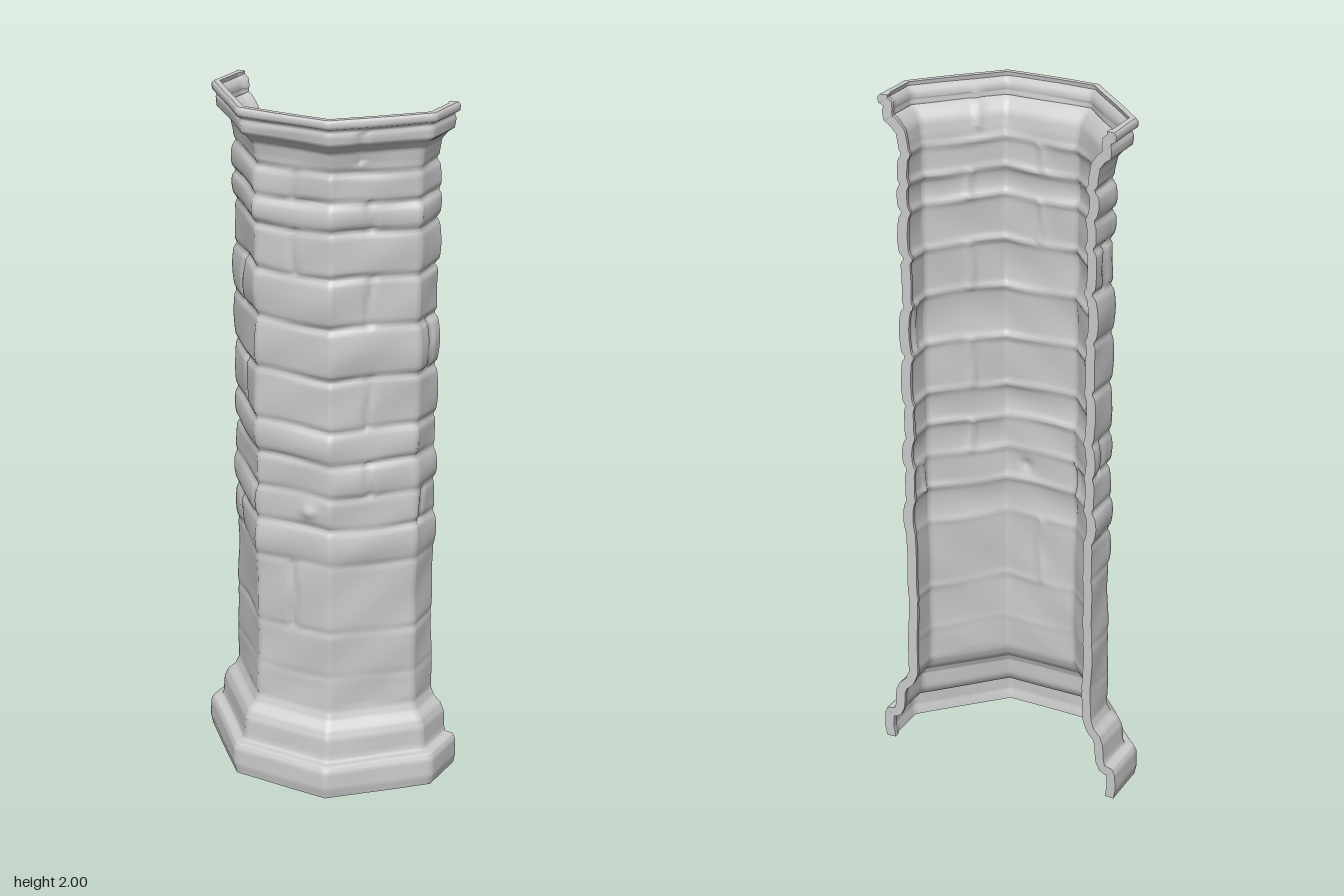
import * as THREE from 'three';

const mat = new THREE.MeshStandardMaterial({ color: 0xcccccc, side: THREE.DoubleSide });
const THICK = 0.02;

// Half-octagon plan of the shaft: [x, z, mitre x, mitre z]
const half = [[0.295, -0.18, 1, -0.1], [0.295, -0.072, 1, 0.414], [0.118, 0.108, 0.414, 1]];
const plan = [...half, ...half.slice().reverse().map(([x, z, mx, mz]) => [-x, z, -mx, mz])];

// Moulding profile: [projection from shaft, height]
const profile = [
  [0.078, 0], [0.084, 0.03], [0.082, 0.08], [0.074, 0.097], [0.05, 0.1], [0.046, 0.115], [0.043, 0.165],
  [0.033, 0.19], [0.012, 0.21], [0.002, 0.235], [0, 0.3], [0, 1.86], [0.006, 1.895], [0.022, 1.915],
  [0.04, 1.928], [0.044, 1.955], [0.042, 1.968], [0.055, 1.976], [0.056, 1.992], [0.05, 2],
];

// Bed joints: [height, depth]; head joints: [distance along wall, from, to]
const beds = [[0.34, 0.002], [0.48, 0.004], [0.69, 0.003], [0.8, 0.007], [0.9, 0.006], [1.0, 0.008], [1.1, 0.008],
  [1.25, 0.01], [1.4, 0.009], [1.54, 0.011], [1.67, 0.009], [1.75, 0.01], [1.835, 0.01], [1.965, 0.004]];
const heads = [[0, 1.75, 1.83], [0, 1.54, 1.67], [0.23, 1.4, 1.54], [0.23, 1.1, 1.25], [0.23, 0.9, 1],
  [-0.23, 1.1, 1.25], [0.2, 1.86, 1.96], [0.23, 1.67, 1.75], [-0.26, 1.4, 1.54], [0, 0.48, 0.69], [-0.14, 0.8, 0.9],
  [0.43, 1.25, 1.4], [-0.43, 1.0, 1.1], [-0.42, 1.54, 1.67], [0.4, 0.8, 0.9], [-0.3, 0.69, 0.8]];

const bell = (d, w) => Math.exp(-(d * d) / (w * w));

// Worn masonry relief: joints, uneven courses and gentle waviness
function relief(s, y) {
  let d = 0.002 * Math.sin(9 * s + 13 * y) + 0.0015 * Math.sin(23 * s - 31 * y + 1);
  const yy = y + 0.004 * Math.sin(17 * s + 5 * y);
  for (const [h, depth] of beds) {
    d -= depth * (0.75 + 0.25 * Math.sin(19 * s + 40 * h)) * bell(yy - h, 0.009);
  }
  for (const [p, a, b] of heads) {
    if (y > a && y < b) d -= 0.009 * bell(s - p + 0.004 * Math.sin(40 * y), 0.008);
  }
  const course = beds.filter(b => b[0] < yy).length;
  if (course > 2 && course < 13) {
    const [a, b] = [beds[course - 1][0], beds[course][0]];
    const pillow = Math.sin(Math.PI * (yy - a) / (b - a));
    d += 0.004 * pillow * (1 + Math.sin(course * 2.4 + Math.round(s * 4)));
  }
  // Small knob on the front face
  return d + 0.012 * bell(Math.hypot(s - 0.05, y - 0.85), 0.018);
}

// Subdivide a polyline of any dimension to even small steps
function subdivide(points, step) {
  const out = [points[0]];
  for (let i = 1; i < points.length; i++) {
    const a = points[i - 1], b = points[i];
    const n = Math.max(2, Math.ceil(Math.hypot(b[0] - a[0], b[1] - a[1]) / step));
    for (let k = 1; k <= n; k++) out.push(a.map((v, c) => v + (b[c] - v) * k / n));
  }
  return out;
}

// Surface over an nu x nv lattice
function lattice(name, nu, nv, at, flip = false) {
  const pos = [], index = [];
  for (let i = 0; i < nu; i++) for (let j = 0; j < nv; j++) pos.push(...at(i, j));
  for (let i = 0; i < nu - 1; i++) {
    for (let j = 0; j < nv - 1; j++) {
      const a = i * nv + j, b = a + 1, c = a + nv, d = c + 1;
      if (flip) index.push(a, c, b, b, c, d);
      else index.push(a, b, c, b, d, c);
    }
  }
  const g = new THREE.BufferGeometry();
  g.setAttribute('position', new THREE.Float32BufferAttribute(pos, 3));
  g.setIndex(index);
  g.computeVertexNormals();
  const mesh = new THREE.Mesh(g, mat);
  mesh.name = name;
  return mesh;
}

export function createModel() {
  const path = subdivide(plan, 0.0125), prof = subdivide(profile, 0.0085);
  const nu = path.length, nv = prof.length;

  // Distance along the wall, zero at the middle of the front
  const dist = [0];
  for (let i = 1; i < nu; i++) {
    dist.push(dist[i - 1] + Math.hypot(path[i][0] - path[i - 1][0], path[i][1] - path[i - 1][1]));
  }
  const mid = dist[nu - 1] / 2;

  const place = (i, r, y) => {
    const [x, z, mx, mz] = path[i];
    return [x + mx * r, Math.min(2, Math.max(0, y)), z + mz * r];
  };
  const bump = (i, y) => relief(mid - dist[i], y) * (y < 0.25 ? 0.5 : 1);
  const outer = (i, j) => {
    const [r, y] = prof[j];
    return place(i, r + bump(i, y), y);
  };
  // Inner skin follows the profile at wall thickness, thicker at the open edges
  const inner = (i, j) => {
    const [r, y] = prof[j], a = prof[Math.max(0, j - 1)], b = prof[Math.min(nv - 1, j + 1)];
    const dr = b[0] - a[0], dy = b[1] - a[1], len = Math.hypot(dr, dy);
    const t = THICK + (i < 2 || i > nu - 3 ? 0.008 : 0);
    const ny = j === 0 || j === nv - 1 ? 0 : -dr / len;
    return place(i, r + bump(i, y) * 0.8 - t * Math.max(0.3, dy / len), y - t * ny);
  };

  const model = new THREE.Group();
  model.name = 'halfOctagonalColumn';
  model.add(
    lattice('outerWall', nu, nv, outer),
    lattice('innerWall', nu, nv, inner, true),
    lattice('topRim', nu, 2, (i, k) => (k ? inner : outer)(i, nv - 1)),
    lattice('bottomRim', nu, 2, (i, k) => (k ? inner : outer)(i, 0), true),
    lattice('leftBackEdge', 2, nv, (k, j) => (k ? outer : inner)(0, j)),
    lattice('rightBackEdge', 2, nv, (k, j) => (k ? inner : outer)(nu - 1, j)),
  );
  return model;
}
